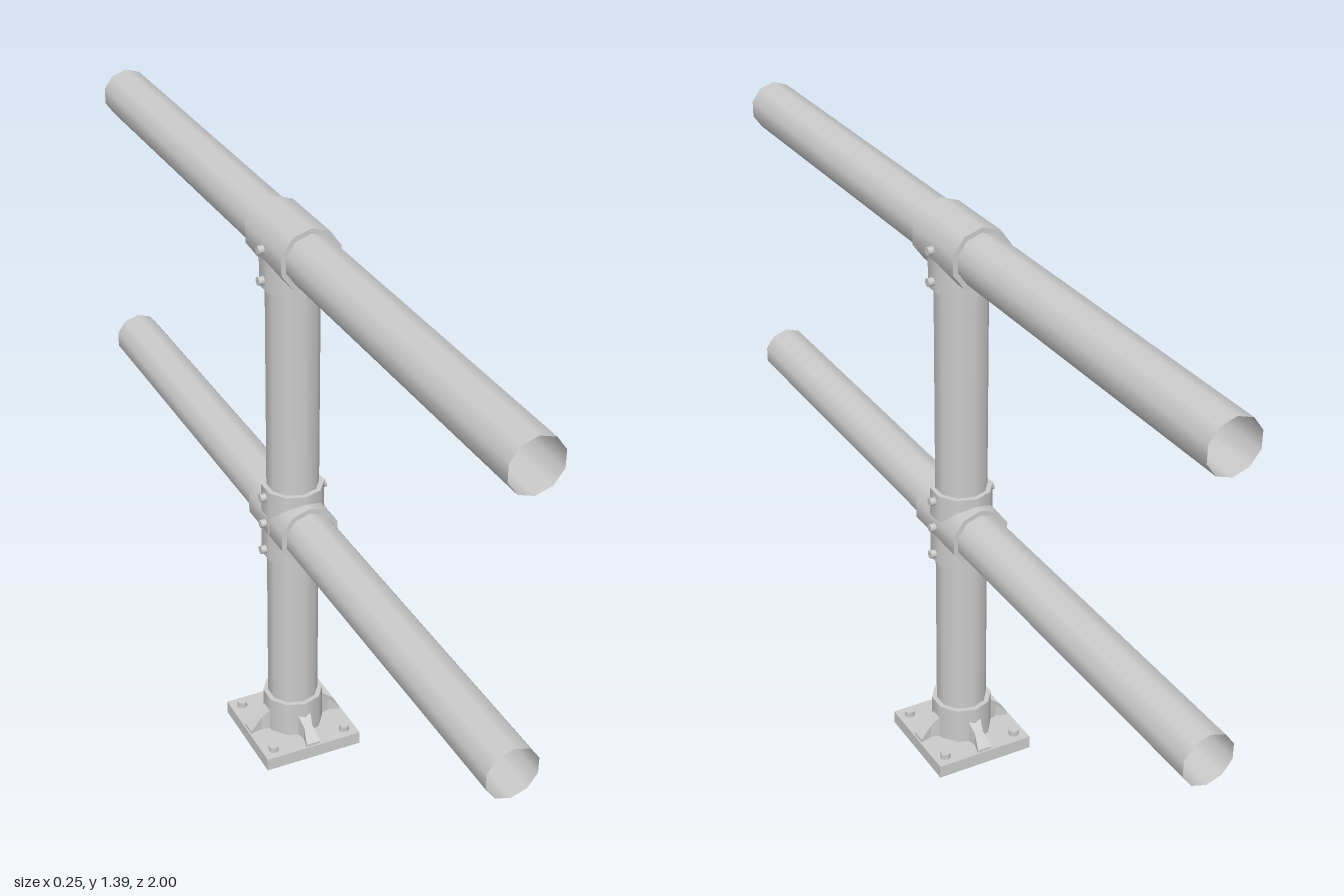
import * as THREE from 'three';

const mat = new THREE.MeshStandardMaterial({ color: 0xcccccc, side: THREE.DoubleSide });
const SIDES = 10;

export function createModel() {
  const root = new THREE.Group();

  const add = (name, geometry, x = 0, y = 0, z = 0, parent = root) => {
    const mesh = new THREE.Mesh(geometry, mat);
    mesh.name = name;
    mesh.position.set(x, y, z);
    parent.add(mesh);
    return mesh;
  };
  // Upright cylinder between two heights
  const upright = (name, r, y0, y1, open = false) =>
    add(name, new THREE.CylinderGeometry(r, r, y1 - y0, SIDES, 1, open), 0, (y0 + y1) / 2, 0);
  // Cylinder lying along z
  const level = (name, r, length, y, open = false) =>
    add(name, new THREE.CylinderGeometry(r, r, length, SIDES, 1, open).rotateX(Math.PI / 2), 0, y, 0);

  const topY = 1.317, midY = 0.628;

  // Post and its two open-ended rails
  upright('post', 0.061, 0.03, topY, true);
  level('topRail', 0.061, 2, topY, true);
  level('middleRail', 0.061, 2, midY, true);

  // Tee fitting on top, cross fitting in the middle
  level('topSleeve', 0.073, 0.186, topY);
  upright('topSocket', 0.073, 1.224, topY);
  level('middleSleeve', 0.073, 0.186, midY);
  upright('middleSocket', 0.073, 0.535, 0.721);

  // Set screws on both sides of the fittings
  const screw = new THREE.CylinderGeometry(0.01, 0.01, 0.03, 8).rotateZ(Math.PI / 2);
  for (const side of [1, -1])
    for (const y of [topY, 1.245, 0.698, midY, 0.556])
      add('setScrew', screw, side * 0.068, y, 0);

  // Base plate: a shallow tray open underneath
  const half = 0.124, height = 0.033;
  add('basePlateTop', new THREE.PlaneGeometry(half * 2, half * 2).rotateX(-Math.PI / 2), 0, height, 0);
  for (let i = 0; i < 4; i++) {
    const wall = new THREE.PlaneGeometry(half * 2, height).translate(0, height / 2, half);
    add('basePlateEdge', wall.rotateY(i * Math.PI / 2));
  }
  upright('baseCollar', 0.073, height, 0.126);

  // Waisted gussets: plan outline extruded up, its top sloping down outward
  const plan = new THREE.Shape([
    [0.06, -0.018], [0.09, -0.011], [0.12, -0.018],
    [0.12, 0.018], [0.09, 0.011], [0.06, 0.018],
  ].map(([x, y]) => new THREE.Vector2(x, y)));
  const gusset = new THREE.ExtrudeGeometry(plan, { depth: 1, bevelEnabled: false }).rotateX(-Math.PI / 2);
  const p = gusset.attributes.position;
  for (let i = 0; i < p.count; i++) {
    const rise = 0.007 + (0.12 - p.getX(i)) * 0.95;
    p.setY(i, height + p.getY(i) * rise);
  }
  gusset.computeVertexNormals();
  for (let i = 0; i < 4; i++) add('gusset', gusset).rotation.y = i * Math.PI / 2;

  // Anchor bolts at the plate corners
  const bolt = new THREE.CylinderGeometry(0.013, 0.013, 0.014, 8);
  for (const x of [-0.095, 0.095])
    for (const z of [-0.095, 0.095]) add('anchorBolt', bolt, x, height + 0.007, z);

  return root;
}
